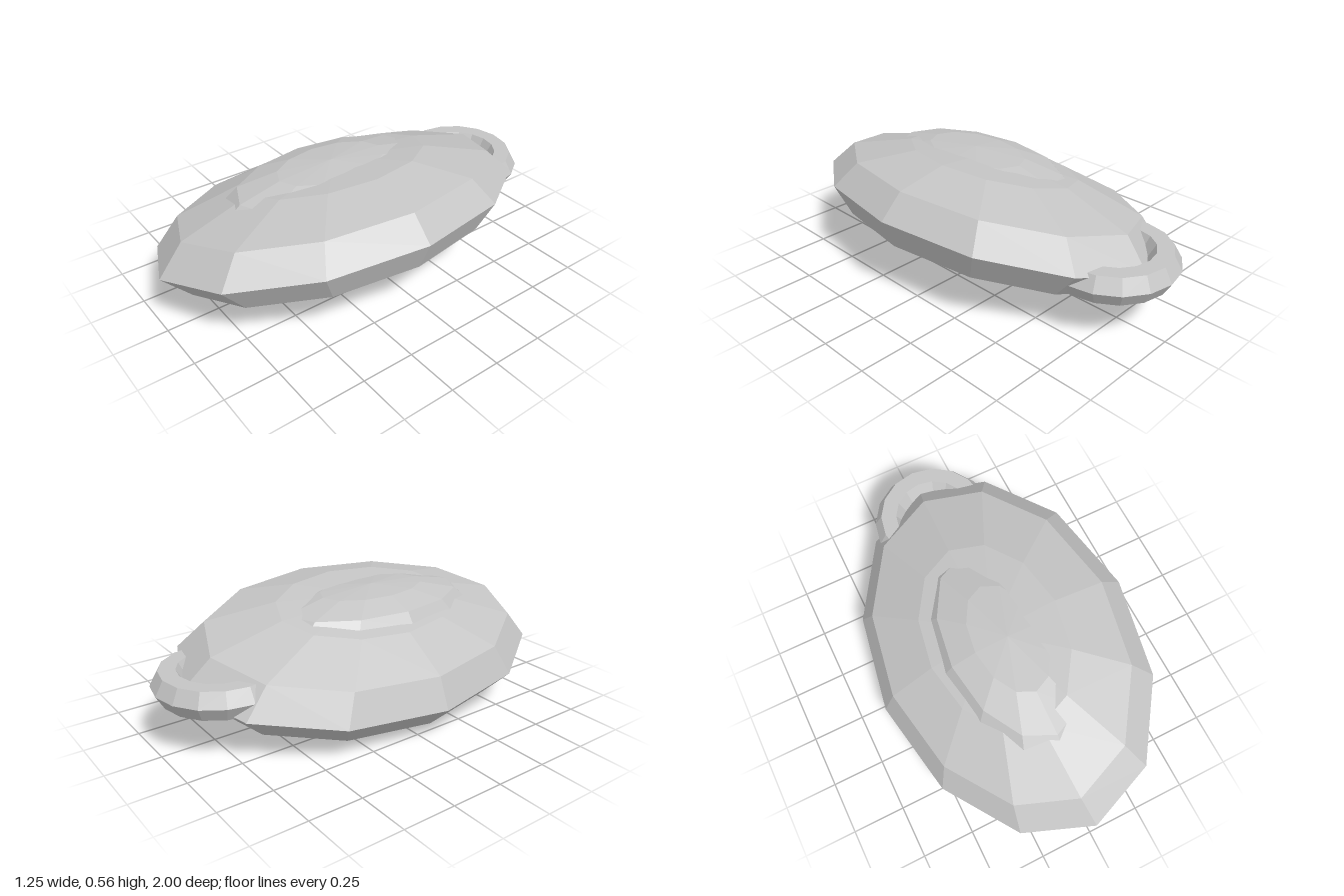
import * as THREE from 'three';

export function createModel() {
  const group = new THREE.Group();
  const metal = new THREE.MeshStandardMaterial({ color: 0xc4c4c4 });
  metal.name = 'greyMetal';

  // Faceted part: split the vertices so every face is flat
  const addPart = (name, geometry, position, tilt = 0) => {
    const flat = geometry.toNonIndexed();
    flat.computeVertexNormals();
    const mesh = new THREE.Mesh(flat, metal);
    mesh.name = name;
    mesh.position.set(...position);
    mesh.rotation.z = tilt;
    group.add(mesh);
  };
  const ellipsoid = (rx, ry, rz) => new THREE.SphereGeometry(1, 12, 6).scale(rx, ry, rz);

  // Main pendant body, tilted sideways
  addPart('pendantBody', ellipsoid(0.638, 0.255, 0.94), [0, 0.285, 0.06], 0.2);

  // Smaller level dome sunk into the upper face
  addPart('raisedDome', ellipsoid(0.32, 0.124, 0.555), [0, 0.438, 0.117]);

  // Hanging loop lying flat through the back end
  addPart('hangingLoop', new THREE.TorusGeometry(0.225, 0.075, 6, 16).rotateX(Math.PI / 2), [0, 0.287, -0.7]);

  return group;
}
